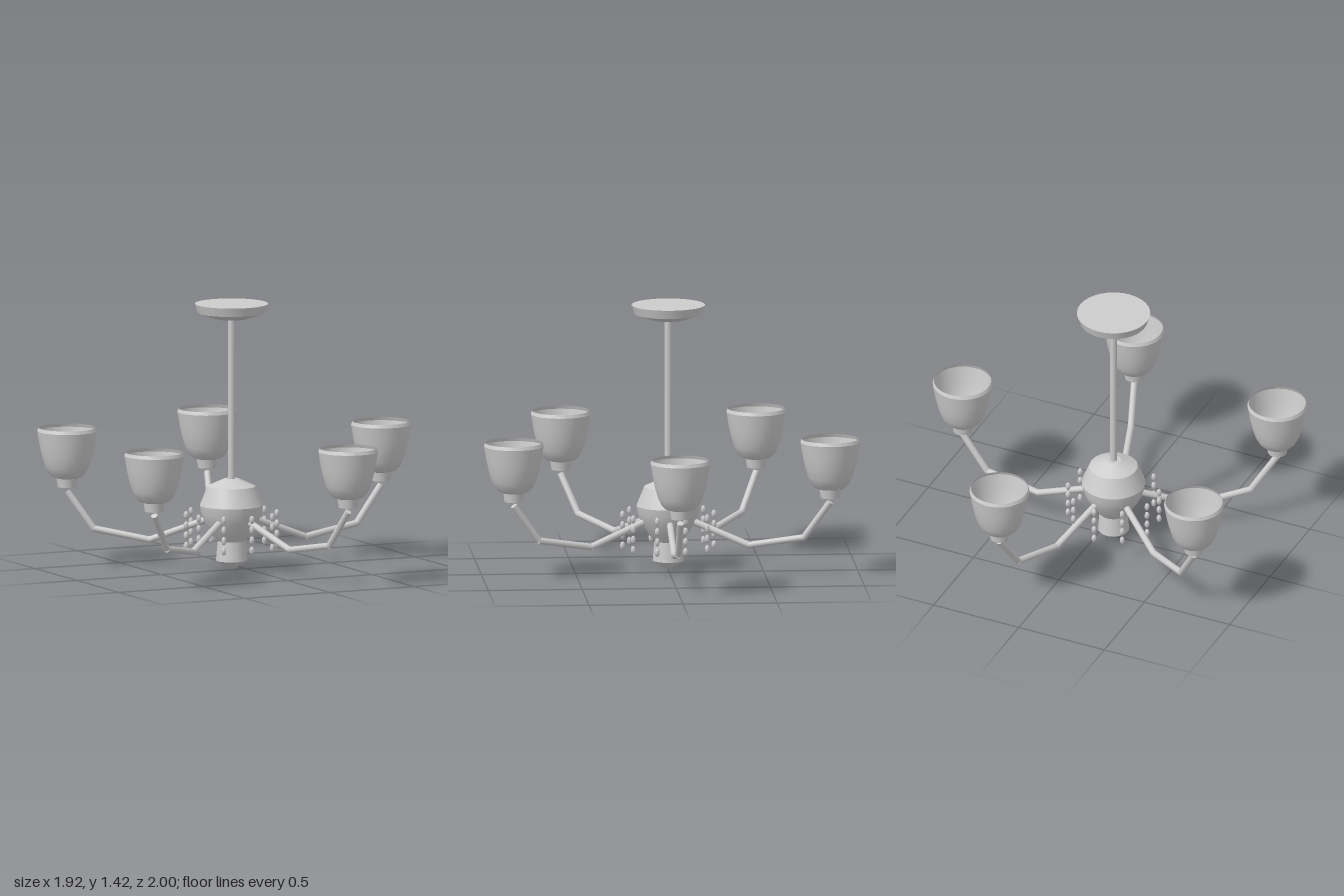
import * as THREE from 'three';
import { toCreasedNormals } from 'three/addons/utils/BufferGeometryUtils.js';

const grey = new THREE.MeshStandardMaterial({ color: 0xcccccc });
const greyOpen = new THREE.MeshStandardMaterial({ color: 0xcccccc, side: THREE.DoubleSide });
const warm = new THREE.MeshStandardMaterial({ color: 0xe0c596 });

function part(parent, name, geometry, material = grey) {
  const mesh = new THREE.Mesh(geometry, material);
  mesh.name = name;
  parent.add(mesh);
  return mesh;
}

// Turned form from [radius, y] pairs listed bottom to top
function turned(profile, sides = 32) {
  const points = profile.map(([r, y]) => new THREE.Vector2(r, y));
  return toCreasedNormals(new THREE.LatheGeometry(points, sides), 0.4);
}

// Straight round bar between two points
function bar(parent, name, a, b, radius) {
  const dir = b.clone().sub(a);
  const mesh = part(parent, name, new THREE.CylinderGeometry(radius, radius, dir.length(), 10));
  mesh.position.copy(a).add(b).multiplyScalar(0.5);
  mesh.quaternion.setFromUnitVectors(new THREE.Vector3(0, 1, 0), dir.normalize());
}

export function createModel() {
  const model = new THREE.Group();
  model.name = 'chandelier';
  const hub = new THREE.Group();
  hub.name = 'hub';
  hub.position.x = -0.085;
  model.add(hub);

  // Ceiling plate, rod and central body
  part(hub, 'canopy', turned([[0, 1.345], [0.085, 1.345], [0.18, 1.378], [0.195, 1.425], [0, 1.425]]));
  bar(hub, 'rod', new THREE.Vector3(0, 0.47, 0), new THREE.Vector3(0, 1.36, 0), 0.019);
  part(hub, 'body', turned([
    [0.075, 0.156], [0.105, 0.195], [0.145, 0.26], [0.162, 0.305], [0.169, 0.346],
    [0.128, 0.448], [0.04, 0.488], [0, 0.488],
  ]));
  part(hub, 'finial', turned([[0, 0], [0.05, 0.027], [0.083, 0.05], [0.074, 0.156], [0, 0.156]]));

  // Five arms, each carrying a socket, a shade and a bulb
  const path = [[0.13, 0.268], [0.44, 0.15], [0.74, 0.203], [0.884, 0.4]]
    .map(([x, y]) => new THREE.Vector3(x, y, 0));
  const socket = turned([[0, 0.423], [0.05, 0.423], [0.057, 0.47], [0, 0.47]], 24);
  const shade = turned([
    [0.05, 0.468], [0.08, 0.478], [0.1, 0.498], [0.118, 0.535], [0.134, 0.59],
    [0.146, 0.645], [0.155, 0.7], [0.159, 0.722], [0.152, 0.74],
  ]);
  const bulb = new THREE.SphereGeometry(0.052, 20, 14);
  for (let i = 0; i < 5; i++) {
    const branch = new THREE.Group();
    branch.name = 'branch';
    branch.rotation.y = (i * Math.PI * 2) / 5;
    hub.add(branch);
    for (let j = 0; j < 3; j++) bar(branch, 'arm', path[j], path[j + 1], 0.018);
    part(branch, 'socket', socket).position.x = 0.884;
    part(branch, 'shade', shade, greyOpen).position.x = 0.884;
    part(branch, 'bulb', bulb, warm).position.set(0.884, 0.57, 0);
  }

  // Ten hanging strands of four faceted beads
  const bead = new THREE.SphereGeometry(1, 6, 5);
  for (let i = 0; i < 10; i++) {
    const strand = new THREE.Group();
    strand.name = 'crystalStrand';
    strand.rotation.y = ((i + 0.5) * Math.PI) / 5;
    hub.add(strand);
    for (let j = 0; j < 4; j++) {
      const drop = part(strand, 'bead', bead);
      drop.position.set(0.243, 0.297 - j * 0.055, 0);
      drop.scale.set(0.014, 0.023, 0.014);
    }
  }
  return model;
}
